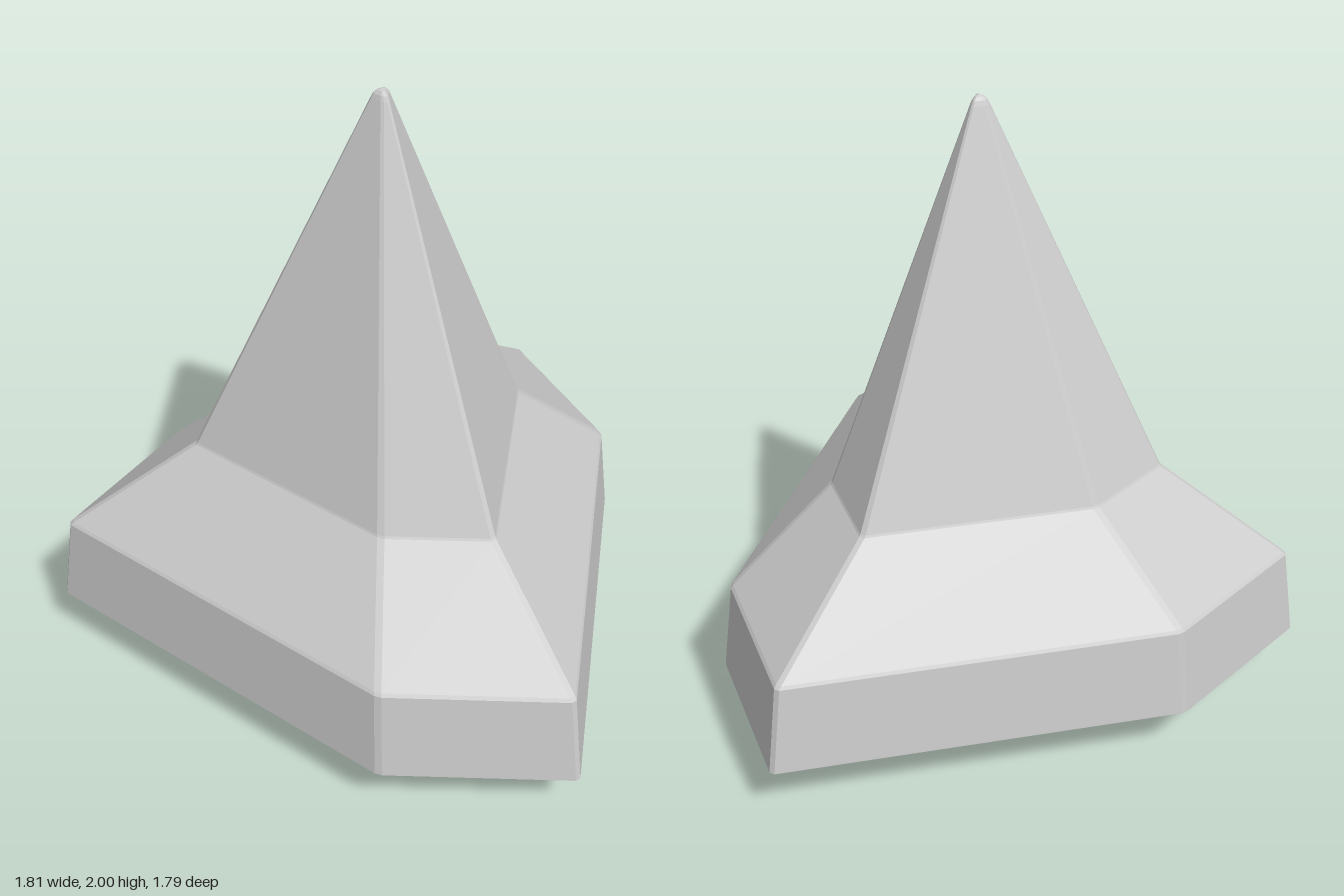
import * as THREE from 'three';

// Irregular six-sided outline [x, z] at the widest level, and the axis of both tips
const OUTLINE = [[-0.08, -0.9], [0.41, -0.59], [0.905, 0.62], [0.38, 0.895], [-0.91, 0.72], [-0.88, 0.12]];
const AXIS = new THREE.Vector2(-0.025, 0.15);

// Levels from bottom tip to top tip: [height, scale of the outline about the axis]
const LEVELS = [
  [0, 0], [0.001, 0.012], [0.006, 0.035],
  [0.183, 0.988], [0.188, 0.999], [0.196, 0.998],
  [0.475, 0.961], [0.485, 0.952],
  [0.783, 0.566], [0.79, 0.561],
  [1.97, 0.034], [1.985, 0.026], [1.995, 0.015], [2, 0],
];

// One cross-section: the scaled outline with slightly rounded corners
function section(y, scale) {
  const pts = OUTLINE.map(([x, z]) => new THREE.Vector2(x, z).sub(AXIS).multiplyScalar(scale).add(AXIS));
  const ring = [];
  pts.forEach((p, i) => {
    const before = pts[(i + pts.length - 1) % pts.length];
    const after = pts[(i + 1) % pts.length];
    const cut = Math.min(0.012, scale * 0.15);
    const a = p.clone().add(before.clone().sub(p).setLength(cut));
    const b = p.clone().add(after.clone().sub(p).setLength(cut));
    for (const q of [a, b]) ring.push(new THREE.Vector3(q.x, y, q.y));
  });
  return ring;
}

// Skin the stacked cross-sections, closing to a point at both ends
function loft(levels) {
  const rings = levels.map(([y, s]) => section(y, s));
  const n = rings[0].length;
  const position = rings.flat().flatMap((v) => v.toArray());
  const index = [];
  for (let i = 0; i < levels.length - 1; i++) {
    for (let j = 0; j < n; j++) {
      const k = (j + 1) % n;
      const a = i * n + j, b = i * n + k, c = a + n, d = b + n;
      if (levels[i][1] > 0) index.push(a, c, b);
      if (levels[i + 1][1] > 0) index.push(b, c, d);
    }
  }
  const geometry = new THREE.BufferGeometry();
  geometry.setAttribute('position', new THREE.Float32BufferAttribute(position, 3));
  geometry.setIndex(index);
  geometry.computeVertexNormals();
  return geometry;
}

export function createModel() {
  const group = new THREE.Group();
  group.name = 'facetedCrystal';
  const material = new THREE.MeshStandardMaterial({ color: 0xcccccc, flatShading: true });

  // Shallow pointed underside, tapered girdle, sloping shoulder and tall spire
  const crystal = new THREE.Mesh(loft(LEVELS), material);
  crystal.name = 'crystal';
  group.add(crystal);
  return group;
}
